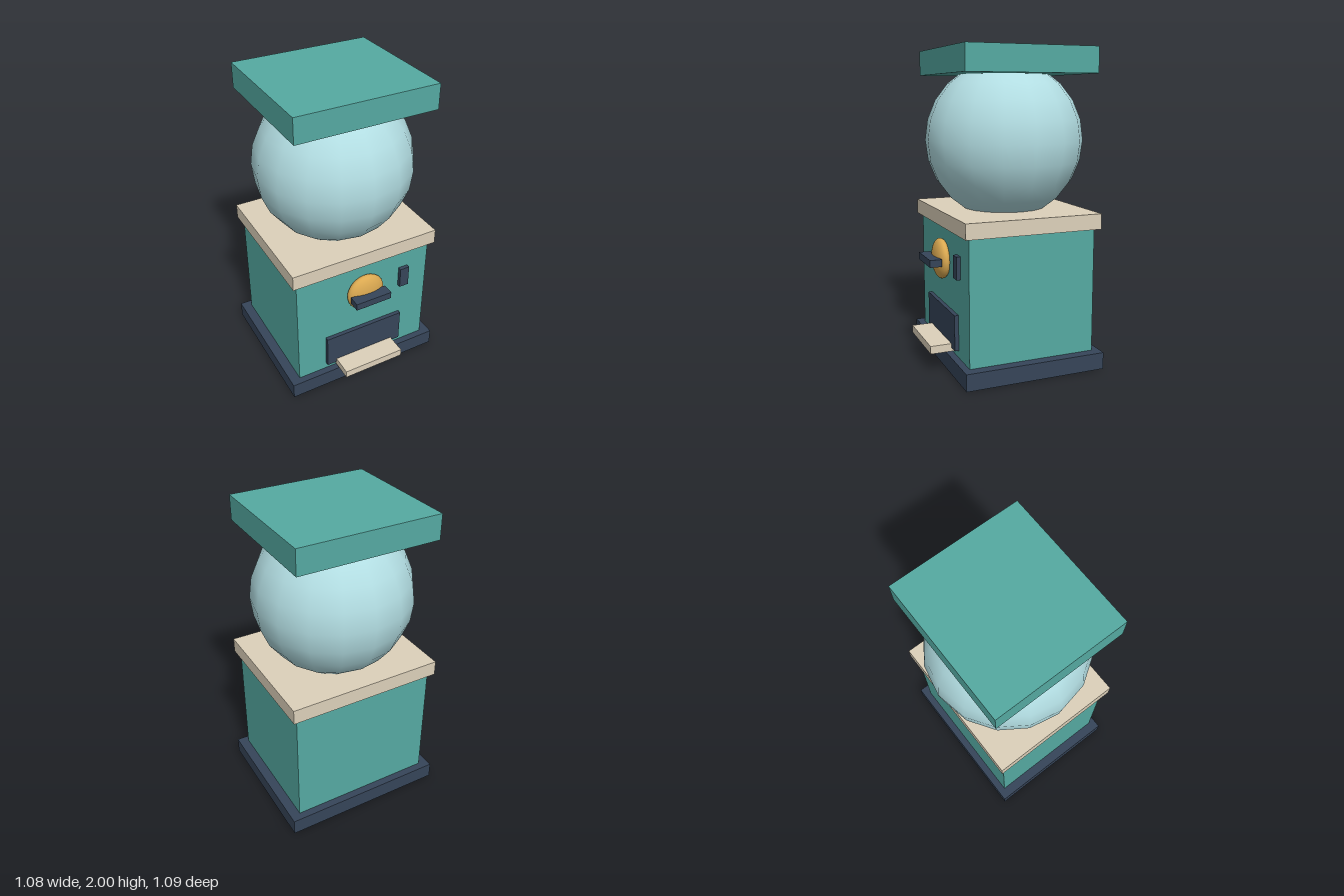
import * as THREE from 'three';

const material = (color) => new THREE.MeshStandardMaterial({ color });

export function createModel() {
  const model = new THREE.Group();
  const teal = material(0x55aaa2);
  const navy = material(0x364559);
  const cream = material(0xddd1ba);
  const brass = material(0xdba951);
  const glass = material(0xb2dde2);

  const add = (name, geometry, mat, x, y, z) => {
    const mesh = new THREE.Mesh(geometry, mat);
    mesh.name = name;
    mesh.position.set(x, y, z);
    model.add(mesh);
    return mesh;
  };

  // Box given by its extents along each axis
  const box = (name, mat, [x0, x1], [y0, y1], [z0, z1]) =>
    add(name, new THREE.BoxGeometry(x1 - x0, y1 - y0, z1 - z0), mat,
      (x0 + x1) / 2, (y0 + y1) / 2, (z0 + z1) / 2);

  // Cabinet: plinth, body and top ledge
  box('base', navy, [-0.54, 0.54], [0, 0.107], [-0.49, 0.426]);
  box('body', teal, [-0.475, 0.475], [0.107, 0.895], [-0.441, 0.382]);
  box('ledge', cream, [-0.507, 0.507], [0.895, 0.992], [-0.473, 0.412]);

  // Globe held between the ledge and the square lid
  add('globe', new THREE.SphereGeometry(0.51, 16, 12), glass, 0, 1.425, -0.033);
  box('lid', teal, [-0.458, 0.458], [1.84, 2], [-0.46, 0.391]);

  // Turning knob: flattened sphere with a bar handle
  add('knob', new THREE.SphereGeometry(0.13, 24, 16), brass, 0, 0.679, 0.403)
    .scale.z = 0.4;
  box('knobHandle', navy, [-0.125, 0.125], [0.654, 0.701], [0.436, 0.512]);

  // Coin slot, dispensing opening and tray
  box('coinSlot', navy, [0.26, 0.325], [0.615, 0.758], [0.375, 0.408]);
  box('chute', navy, [-0.278, 0.278], [0.153, 0.38], [0.375, 0.408]);
  box('tray', cream, [-0.212, 0.212], [0.13, 0.18], [0.375, 0.543]);

  return model;
}
